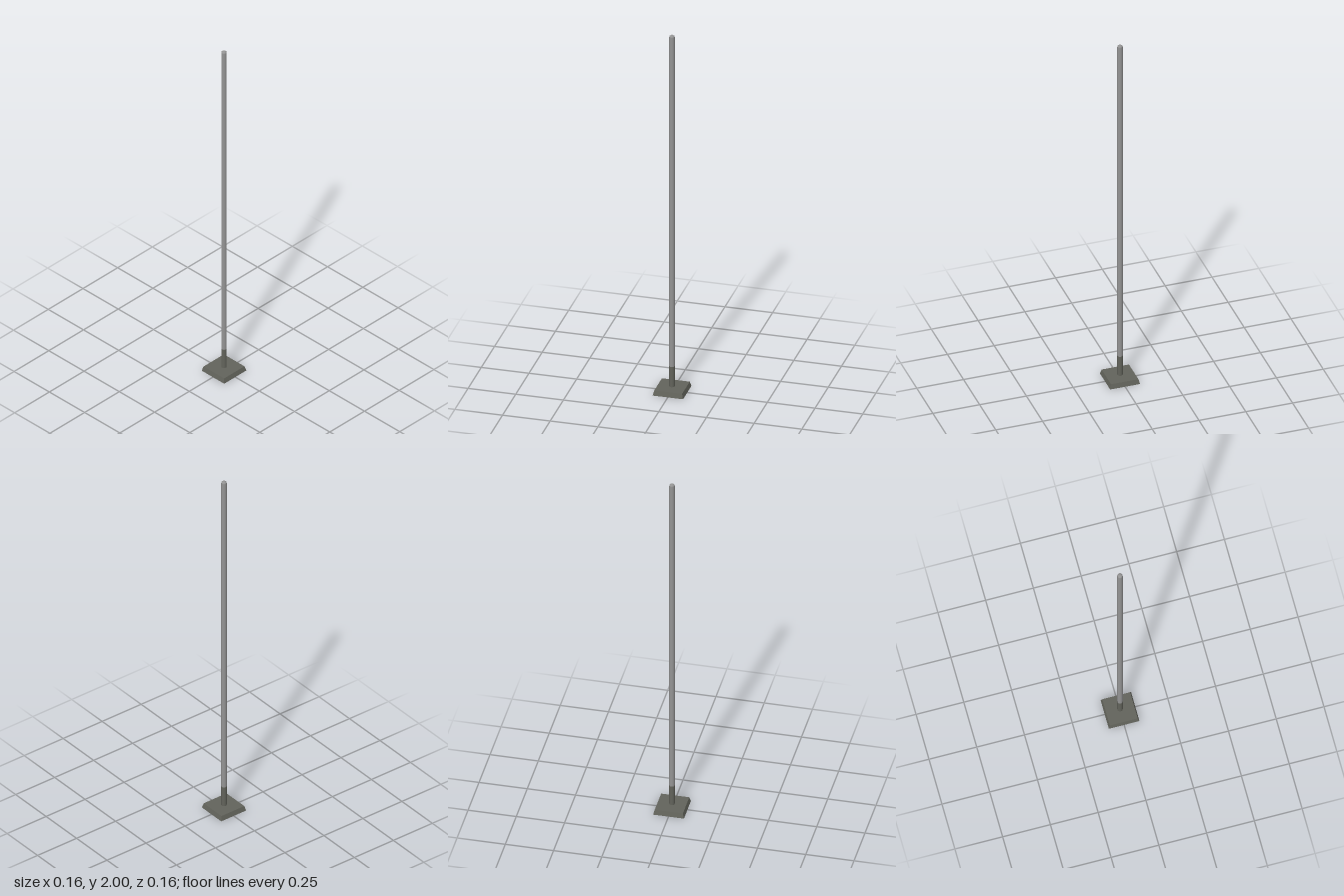
import * as THREE from 'three';

export function createModel() {
  const model = new THREE.Group();
  const baseGrey = new THREE.MeshStandardMaterial({ name: 'dark olive grey', color: 0x62635b, side: THREE.DoubleSide });
  const poleGrey = new THREE.MeshStandardMaterial({ name: 'light grey', color: 0x949494 });

  const add = (name, geometry, material) => {
    const mesh = new THREE.Mesh(geometry, material);
    mesh.name = name;
    model.add(mesh);
    return mesh;
  };
  const lathe = (points) => new THREE.LatheGeometry(points.map(([r, y]) => new THREE.Vector2(r, y)), 20);

  // Hollow square foot: four sloped walls, open underneath
  const bottom = 0.08, top = 0.073, height = 0.026;
  const walls = new THREE.CylinderGeometry(top * Math.SQRT2, bottom * Math.SQRT2, height, 4, 1, true)
    .rotateY(Math.PI / 4).toNonIndexed();
  walls.computeVertexNormals();
  add('footWalls', walls, baseGrey).position.y = height / 2;

  // Flat top plate of the foot
  add('footTop', new THREE.PlaneGeometry(top * 2, top * 2).rotateX(-Math.PI / 2), baseGrey).position.y = height;

  // Dark socket passing through the foot, capped underneath
  add('socket', lathe([[0, 0.008], [0.014, 0.008], [0.014, 0.008], [0.014, 0.14], [0.014, 0.14], [0, 0.14]]), baseGrey);

  // Long pole with a shallow rounded tip
  add('pole', lathe([[0.014, 0.14], [0.014, 1.99], [0.0125, 1.995], [0.008, 1.999], [0, 2]]), poleGrey);

  return model;
}
